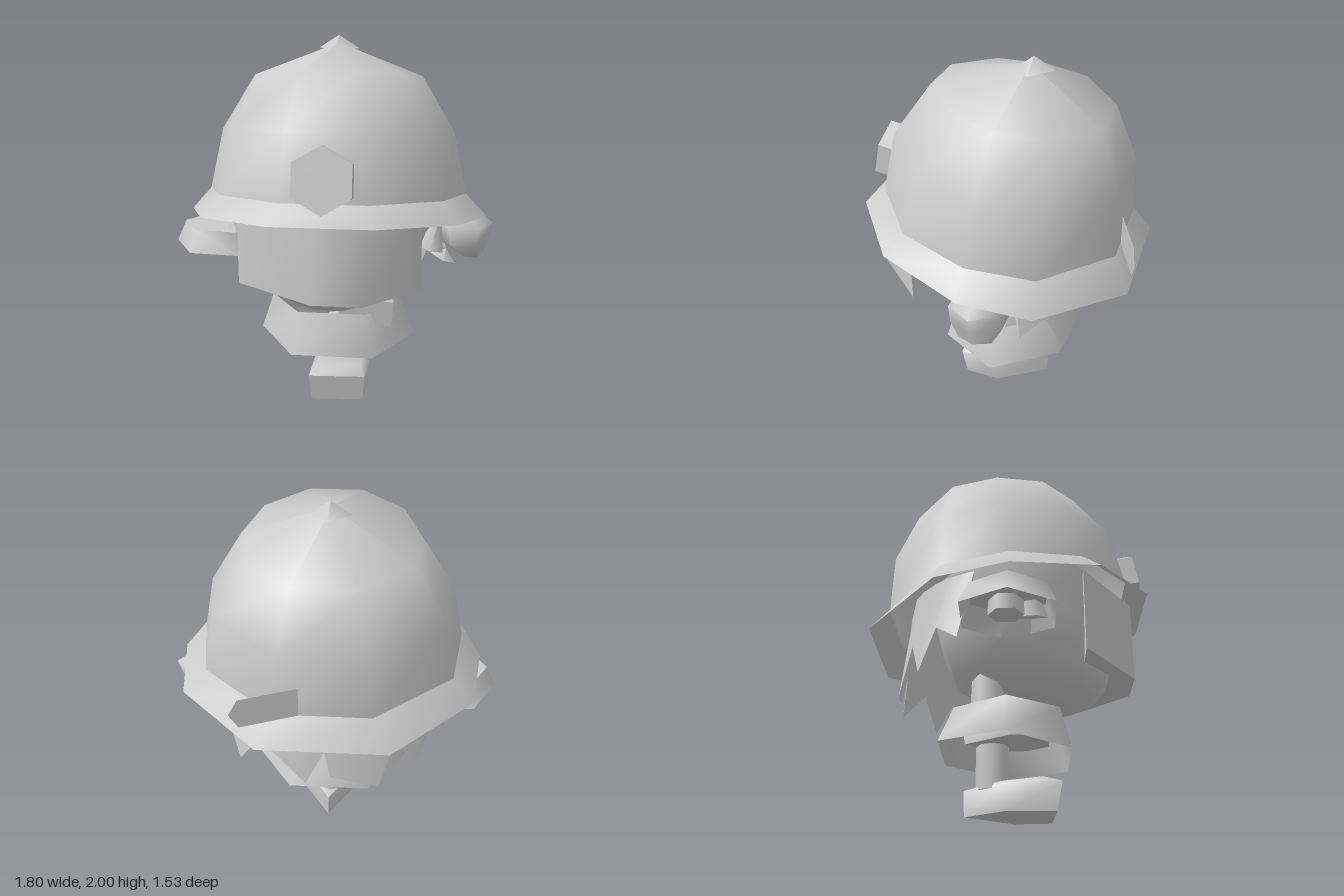
import * as THREE from 'three';
import { toCreasedNormals } from 'three/addons/utils/BufferGeometryUtils.js';

const V = (x, y, z) => new THREE.Vector3(x, y, z);
const solid = new THREE.MeshStandardMaterial({ color: 0xcccccc });
const thin = new THREE.MeshStandardMaterial({ color: 0xcccccc, side: THREE.DoubleSide });

// Ring of points, running from +z towards +x
function ring(y, cx, cz, rx, rz, n = 10, slope = 0) {
  return Array.from({ length: n }, (_, i) => {
    const t = ((i + 0.5) * 2 * Math.PI) / n;
    const z = cz + rz * Math.cos(t);
    return V(cx + rx * Math.sin(t), y + slope * z, z);
  });
}

// Surface through rows of points, listed bottom to top
function loft(rows, { closed = true, caps = false, crease = 0.9 } = {}) {
  const n = rows[0].length;
  const index = [];
  for (let r = 0; r < rows.length - 1; r++) {
    for (let i = 0; i < (closed ? n : n - 1); i++) {
      const j = (i + 1) % n;
      const a = r * n + i, b = r * n + j, c = b + n, d = a + n;
      index.push(a, b, c, a, c, d);
    }
  }
  if (caps) {
    const top = (rows.length - 1) * n;
    for (let i = 1; i < n - 1; i++) index.push(0, i + 1, i, top, top + i, top + i + 1);
  }
  const g = new THREE.BufferGeometry().setFromPoints(rows.flat());
  g.setIndex(index);
  return toCreasedNormals(g, crease);
}

// Outlines seen from above, as [x, z]
const domePlan = [[-0.2, 0.65], [0.25, 0.65], [0.6, 0.39], [0.73, 0.02], [0.67, -0.33],
  [0.28, -0.64], [-0.22, -0.64], [-0.63, -0.33], [-0.69, 0.02], [-0.55, 0.39]];
const brimPlan = [[-0.24, 0.76], [0.28, 0.76], [0.68, 0.47], [0.85, 0.02], [0.8, -0.35],
  [0.37, -0.73], [-0.31, -0.73], [-0.75, -0.35], [-0.8, 0.02], [-0.63, 0.48]];
const shoePlan = [[-0.155, 0.27], [0.14, 0.25], [0.155, 0.04], [-0.02, -0.23], [-0.155, -0.01]];

// Outline scaled about x = cx and tilted along z
const planRing = (plan, y, slope, sx = 1, sz = 1, dz = 0, cx = 0.02) => plan.map(([x, z0]) => {
  const z = z0 * sz + dz;
  return V(cx + (x - cx) * sx, y + slope * z, z);
});

export function createModel() {
  const model = new THREE.Group();
  const add = (name, geometry, material = solid, parent = model) => {
    const mesh = new THREE.Mesh(geometry, material);
    mesh.name = name;
    parent.add(mesh);
    return mesh;
  };

  // Helmet dome and brim
  const rim = planRing(domePlan, 1.16, 0.125);
  add('helmetDome', loft([
    rim,
    planRing(domePlan, 1.495, 0.13, 0.9, 0.94, -0.03),
    planRing(domePlan, 1.795, 0.13, 0.645, 0.7, -0.07),
    planRing(domePlan, 1.965, 0.08, 0.01, 0.01, -0.1),
  ], { crease: 1.3 }), thin);
  add('helmetBrim', loft([planRing(brimPlan, 1.035, 0.154), rim]), thin);

  // Small pyramid on the crown
  const crown = add('crownButton', new THREE.ConeGeometry(0.11, 0.07, 4));
  crown.position.set(0.02, 1.965, -0.12);
  crown.rotation.set(0.08, -0.1, 0);

  // Six-sided badge leaning with the helmet
  const badgeGeo = toCreasedNormals(new THREE.CylinderGeometry(0.168, 0.168, 0.09, 6), 0.3);
  badgeGeo.rotateX(Math.PI / 2);
  const badge = add('helmetBadge', badgeGeo);
  badge.position.set(0.024, 1.365, 0.682);
  badge.rotation.x = -0.2;

  // Thin blade on the back of the helmet
  const blade = new THREE.BufferGeometry().setFromPoints([
    V(0.15, 1.08, -0.64), V(0.43, 1.08, -0.75), V(0.475, 1.165, -0.767),
    V(0.43, 1.245, -0.75), V(0.15, 1.245, -0.64)]);
  blade.setIndex([0, 2, 1, 0, 3, 2, 0, 4, 3]);
  blade.computeVertexNormals();
  add('backBlade', blade, thin);

  // Head tapering to the chin
  add('head', loft([
    ring(0.55, 0.03, 0.24, 0.04, 0.05),
    ring(0.62, 0.02, 0.18, 0.25, 0.29),
    ring(0.74, 0.02, 0.13, 0.4, 0.44),
    ring(0.95, 0.02, 0.1, 0.51, 0.5),
    ring(1.22, 0.02, 0.06, 0.56, 0.53),
  ], { caps: true, crease: 1 }));

  // Angular guard in front of the face
  const guardPlan = [[-0.46, 0.4], [-0.04, 0.69], [0.22, 0.69], [0.5, 0.41]];
  add('faceGuard', loft([planRing(guardPlan, 0.735, 0), planRing(guardPlan, 1.18, 0)],
    { caps: true, crease: 1 }));

  // Hair behind the head, cut into broad spikes
  const tips = [[0.6, 0.95, -0.18], [0.65, 0.73, -0.24], [0.57, 0.82, -0.35], [0.5, 0.61, -0.44],
    [0.38, 0.8, -0.5], [0.13, 0.58, -0.59], [0.03, 0.78, -0.56], [0, 0.62, -0.58],
    [-0.26, 0.55, -0.56], [-0.34, 0.8, -0.49], [-0.46, 0.61, -0.44], [-0.53, 0.82, -0.35],
    [-0.61, 0.73, -0.24], [-0.56, 0.95, -0.18]].map((p) => V(...p));
  const roots = tips.map((p) => {
    const t = Math.atan2(p.x - 0.02, p.z);
    return V(0.02 + 0.61 * Math.sin(t), 1.12, 0.55 * Math.cos(t));
  });
  add('backHair', loft([tips, roots], { closed: false }), thin);

  // Short side locks next to the face
  for (const s of [-1, 1]) {
    const lock = add(s > 0 ? 'leftLock' : 'rightLock', new THREE.ConeGeometry(0.08, 0.2, 5));
    lock.position.set(0.02 + s * 0.55, 0.98, 0.13);
    lock.rotation.z = s * -0.3;
  }

  // Round hand on the left with a sliver of cuff under it
  const hand = add('leftHand', loft([
    ring(-0.13, 0.05, 0, 0.07, 0.1, 6),
    ring(-0.05, 0, 0, 0.14, 0.155, 6),
    ring(0.05, 0, 0, 0.17, 0.155, 6),
    ring(0.14, -0.05, 0, 0.08, 0.1, 6),
  ], { caps: true, crease: 1.3 }));
  hand.position.set(0.725, 0.93, -0.06);
  const cuff = add('leftCuff', new THREE.ConeGeometry(0.08, 0.05, 5, 1, true), thin);
  cuff.position.set(0.63, 0.785, -0.09);
  cuff.rotation.z = -0.4;

  // Six-sided sleeve on the right, open below, with a hand inside
  const sleeveProfile = [[0.27, -0.06], [0.22, 0.06], [0, 0.06]].map((p) => new THREE.Vector2(...p));
  const sleeve = add('rightSleeve', toCreasedNormals(
    new THREE.LatheGeometry(sleeveProfile, 6, Math.PI / 6), 1.1), thin);
  sleeve.position.set(-0.63, 0.895, 0.01);
  sleeve.rotation.z = -0.03;
  const rightHand = add('rightHand', new THREE.CylinderGeometry(0.09, 0.09, 0.08, 6));
  rightHand.position.set(-0.6, 0.89, 0);

  // Open six-sided skirt
  add('skirt', loft([
    ring(0.318, 0.025, -0.015, 0.445, 0.395, 6, -0.06),
    ring(0.53, 0.02, -0.005, 0.37, 0.32, 6),
  ], { crease: 1.2 }), thin);

  // Curved panel above the skirt
  const panel = add('bodyPanel', new THREE.CylinderGeometry(0.09, 0.1, 0.32, 6, 1, true), thin);
  panel.position.set(-0.12, 0.62, -0.1);

  // Legs and shoes, the left one mirrored and drawn up
  const mirroredPlan = shoePlan.map(([x, z]) => [-x, z - 0.02]).reverse();
  const makeLeg = (name, plan, x, y, shinX, length) => {
    const leg = new THREE.Group();
    leg.name = name;
    add('shoe', loft([
      planRing(plan, 0, 0, 0.98, 0.96, -0.01, 0),
      planRing(plan, 0.145, 0.03, 1.05, 1.03, 0, 0),
      planRing(plan, 0.165, 0.11, 0.85, 0.78, -0.03, 0),
    ], { caps: true, crease: 1.3 }), solid, leg);
    const shin = add('shin', new THREE.CylinderGeometry(0.088, 0.088, length, 8), solid, leg);
    shin.position.set(shinX, 0.13 + length / 2, -0.085);
    leg.position.set(x, y, 0);
    model.add(leg);
  };
  makeLeg('rightLeg', shoePlan, 0.055, 0, -0.03, 0.24);
  makeLeg('leftLeg', mirroredPlan, 0.195, 0.45, 0, 0.2);

  return model;
}
